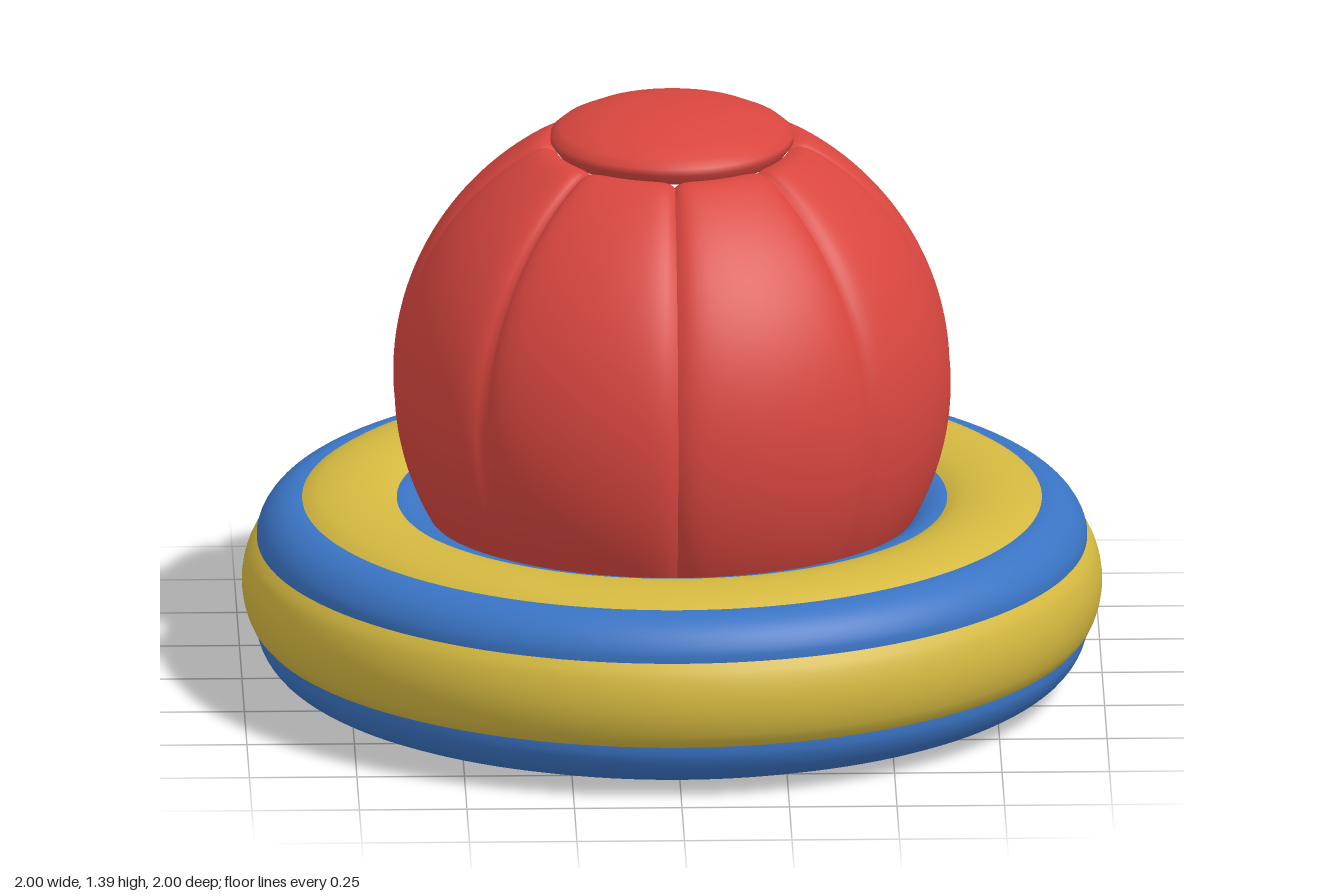
import * as THREE from 'three';

const flat = (name, color) => {
  const m = new THREE.MeshStandardMaterial({ color });
  m.name = name;
  return m;
};

export function createModel() {
  const red = flat('red', 0xd9463f);
  const yellow = flat('yellow', 0xd4b840);
  const blue = flat('blue', 0x3a74c4);
  const navy = flat('navy', 0x22318a);

  const model = new THREE.Group();
  model.name = 'inflatableBallAndRing';
  const add = (name, geometry, material, parent) => {
    const mesh = new THREE.Mesh(geometry, material);
    mesh.name = name;
    parent.add(mesh);
    return mesh;
  };

  // Ring: eight puffed bands around an octagonal section, [r, y, name, material, bulge]
  const ring = new THREE.Group();
  ring.name = 'ring';
  model.add(ring);
  const bands = [
    [0.965, 0.135, 'outerBand', yellow, 0.035],
    [0.965, 0.34, 'upperOuterBand', blue, 0.03],
    [0.86, 0.437, 'topBand', yellow, 0.028],
    [0.64, 0.437, 'upperInnerBand', blue, 0.03],
    [0.535, 0.34, 'innerBand', yellow, 0.035],
    [0.535, 0.135, 'lowerInnerBand', blue, 0.03],
    [0.64, 0.03, 'bottomBand', blue, 0.03],
    [0.86, 0.03, 'lowerOuterBand', blue, 0.03],
  ];
  bands.forEach(([r, y, name, material, bulge], i) => {
    const [r2, y2] = bands[(i + 1) % bands.length];
    const length = Math.hypot(r2 - r, y2 - y);
    const points = [];
    for (let k = 0; k <= 12; k++) {
      const t = k / 12;
      const puff = bulge * Math.pow(Math.max(0, Math.sin(Math.PI * t)), 0.65);
      points.push(new THREE.Vector2(
        r + (r2 - r) * t + puff * (y2 - y) / length,
        y + (y2 - y) * t - puff * (r2 - r) / length,
      ));
    }
    add(name, new THREE.LatheGeometry(points, 128), material, ring);
  });

  // Valve on the back of the ring
  const valve = new THREE.Group();
  valve.name = 'valve';
  valve.position.set(0, 0.235, -0.997);
  valve.rotation.x = -Math.PI / 2;
  ring.add(valve);
  add('valveSocket', new THREE.CylinderGeometry(0.055, 0.055, 0.008, 24), blue, valve);
  add('valvePlug', new THREE.CylinderGeometry(0.022, 0.022, 0.009, 20), yellow, valve);

  // Ball: eight puffed gores between the two round end caps
  const ball = new THREE.Group();
  ball.name = 'ball';
  ball.position.y = 0.73;
  model.add(ball);
  const R = 0.652;
  const LIMIT = 1.12;
  const gores = (from, to, rows) => {
    const points = [];
    for (let k = 0; k <= rows; k++) {
      const a = from + (to - from) * k / rows;
      const dip = 1 - 0.04 * Math.exp(-(LIMIT - Math.abs(a)) / 0.025);
      points.push(new THREE.Vector2(R * dip * Math.cos(a), R * dip * Math.sin(a)));
    }
    const geometry = new THREE.LatheGeometry(points, 256);
    const p = geometry.attributes.position;
    const gore = Math.PI / 4;
    for (let i = 0; i < p.count; i++) {
      // Pinch the surface in along each seam
      const angle = Math.atan2(p.getX(i), p.getZ(i)) / gore;
      const d = Math.abs(angle - Math.round(angle)) * gore;
      const s = 1 - 0.03 * Math.exp(-d / 0.045);
      p.setXYZ(i, p.getX(i) * s, p.getY(i) * s, p.getZ(i) * s);
    }
    geometry.computeVertexNormals();
    return geometry;
  };
  const SPLIT = -0.62;
  add('lowerGores', gores(-LIMIT, SPLIT, 20), navy, ball);
  add('upperGores', gores(SPLIT, LIMIT, 60), red, ball);

  // End caps, the lower one mirrored by a half turn
  const capPoints = [[0.265, 0.555], [0.283, 0.58], [0.282, 0.596], [0.262, 0.613],
    [0.21, 0.637], [0.14, 0.653], [0.07, 0.662], [0, 0.665]];
  const capGeometry = new THREE.LatheGeometry(
    capPoints.map(([x, y]) => new THREE.Vector2(x, y)), 64);
  add('topCap', capGeometry, red, ball);
  add('bottomCap', capGeometry, navy, ball).rotation.x = Math.PI;

  return model;
}
